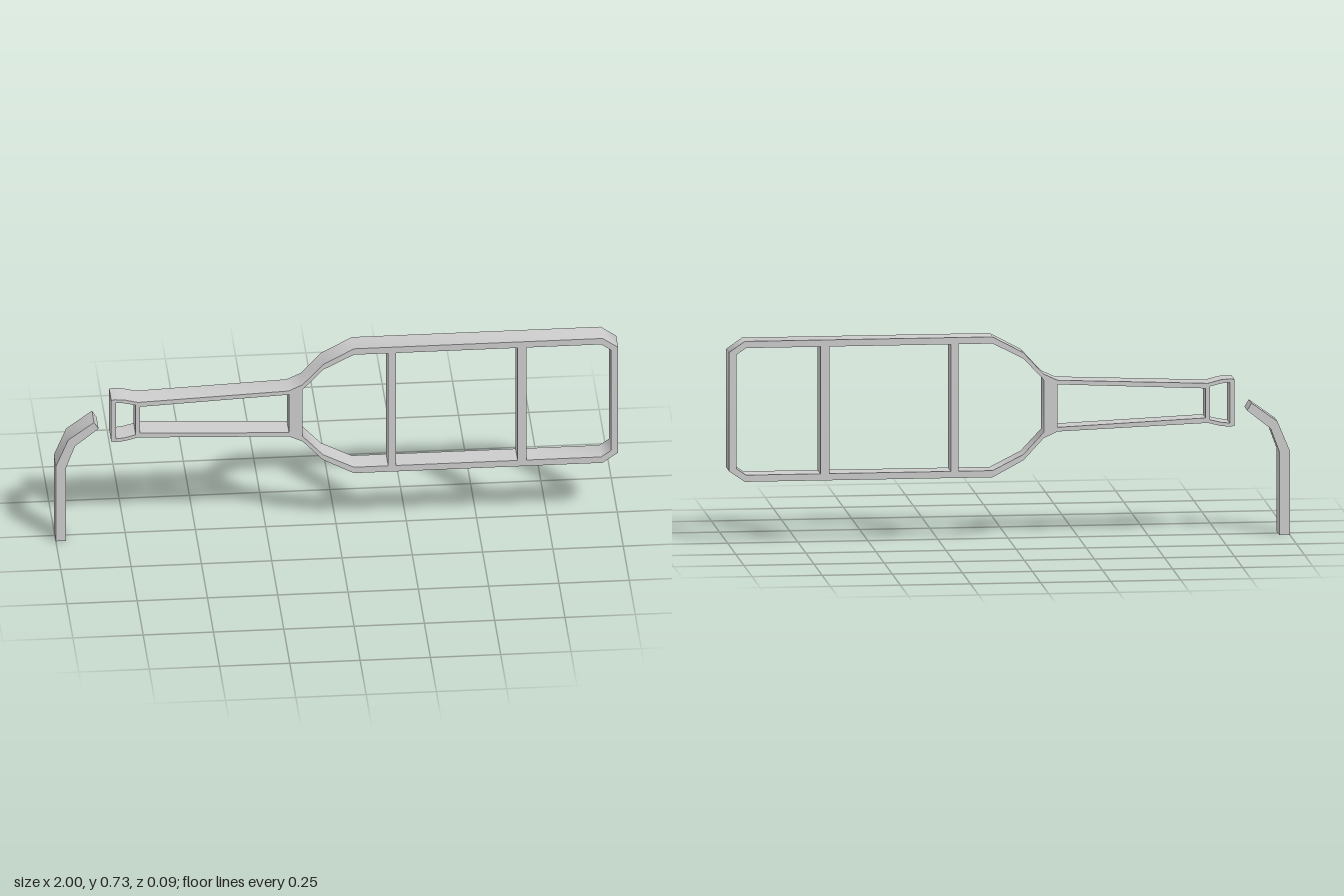
import * as THREE from 'three';
import { toCreasedNormals } from 'three/addons/utils/BufferGeometryUtils.js';

const DEPTH = 0.086;
const MID_Y = 0.478;

// Extrude a flat shape, centred on z = 0, softening only the shallow corners
function extruded(name, shape) {
  const geo = new THREE.ExtrudeGeometry(shape, { depth: DEPTH, bevelEnabled: false });
  geo.translate(0, 0, -DEPTH / 2);
  const mat = new THREE.MeshStandardMaterial({ color: 0xcccccc });
  const mesh = new THREE.Mesh(toCreasedNormals(geo, THREE.MathUtils.degToRad(60)), mat);
  mesh.name = name;
  return mesh;
}

// Closed outline from [x, half height] pairs, mirrored about MID_Y
function mirrored(half) {
  const top = half.map(([x, h]) => new THREE.Vector2(x, MID_Y + h));
  const bottom = half.map(([x, h]) => new THREE.Vector2(x, MID_Y - h));
  return [...bottom, ...top.reverse()];
}

export function createModel() {
  const group = new THREE.Group();
  group.name = 'bottleOutline';

  // Bottle frame: lip, neck, shoulders and body
  const bottle = new THREE.Shape(mirrored([
    [-0.803, 0.083], [-0.79, 0.086], [-0.755, 0.083], [-0.708, 0.071], [-0.172, 0.092],
    [-0.122, 0.115], [-0.05, 0.193], [0.06, 0.252], [0.944, 0.252], [1, 0.213],
  ]));

  // Openings left between the crossbars
  const openings = [
    [[-0.786, 0.073], [-0.757, 0.07], [-0.716, 0.06]],
    [[-0.7, 0.053], [-0.171, 0.077]],
    [[-0.123, 0.094], [-0.05, 0.172], [0.06, 0.228], [0.182, 0.228]],
    [[0.209, 0.228], [0.642, 0.228]],
    [[0.674, 0.228], [0.939, 0.228], [0.974, 0.204]],
  ];
  for (const o of openings) bottle.holes.push(new THREE.Path(mirrored(o)));
  group.add(extruded('bottleFrame', bottle));

  // Bent stream pouring down from the lip
  const stream = new THREE.Shape([
    [-1, 0], [-0.963, 0], [-0.963, 0.298], [-0.932, 0.382], [-0.848, 0.449],
    [-0.864, 0.475], [-0.956, 0.408], [-1, 0.303],
  ].map(([x, y]) => new THREE.Vector2(x, y)));
  group.add(extruded('pouringStream', stream));

  return group;
}
